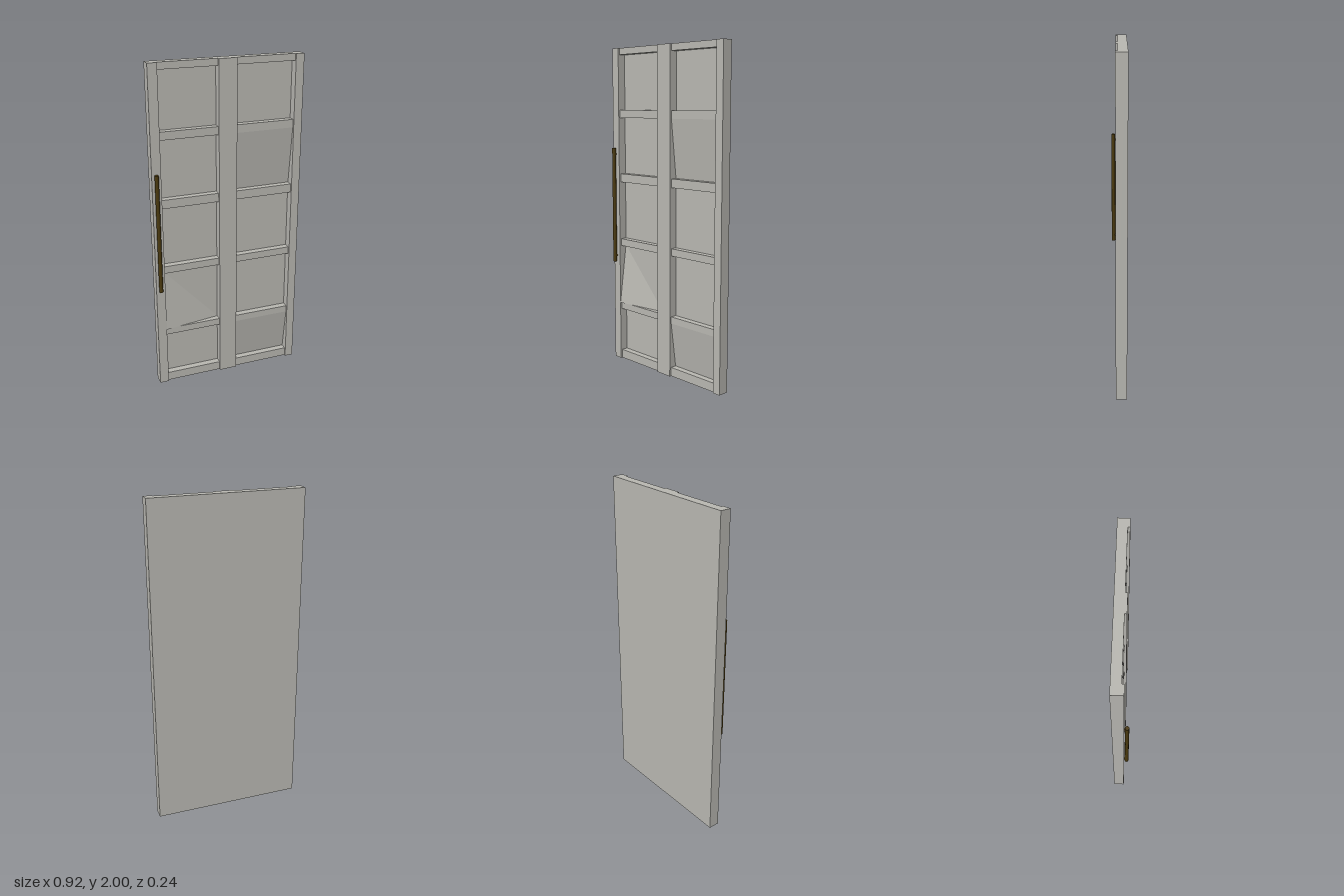
import * as THREE from 'three';

export function createModel() {
  const model = new THREE.Group();
  model.name = 'door';
  const grey = new THREE.MeshStandardMaterial({ color: 0xb8b7b1, side: THREE.DoubleSide });
  grey.name = 'grey metal';
  const bronze = new THREE.MeshStandardMaterial({ color: 0x4a390e });
  bronze.name = 'dark bronze';

  // Depths, in the door's own frame
  const BACK = -0.048, PANEL = -0.034, RAIL = 0.006, STILE = 0.018;

  const add = (name, geometry, material) => {
    const mesh = new THREE.Mesh(geometry, material);
    mesh.name = name;
    model.add(mesh);
    return mesh;
  };
  const slab = (name, x0, x1, y0, y1, z0, z1) =>
    add(name, new THREE.BoxGeometry(x1 - x0, y1 - y0, z1 - z0), grey)
      .position.set((x0 + x1) / 2, (y0 + y1) / 2, (z0 + z1) / 2);
  // Flat facet from three or four corners, anticlockwise from the front
  const facet = (name, corners) => {
    const g = new THREE.BufferGeometry();
    g.setAttribute('position', new THREE.Float32BufferAttribute(corners.flat(), 3));
    g.setIndex(corners.length === 4 ? [0, 1, 2, 0, 2, 3] : [0, 1, 2]);
    const flat = g.toNonIndexed();
    flat.computeVertexNormals();
    add(name, flat, grey);
  };

  // Back sheet and uprights
  slab('backPanel', -0.459, 0.459, 0, 2, BACK, PANEL);
  slab('rightStile', -0.459, -0.404, 0, 2, PANEL, STILE);
  slab('middleStile', -0.057, 0.053, 0, 2, PANEL, STILE);
  slab('leftStile', 0.408, 0.459, 0, 2, PANEL, STILE);

  // Cross rails in both columns
  const rails = [[0, 0.055], [0.335, 0.377], [0.755, 0.8], [1.167, 1.22], [1.572, 1.62], [1.96, 2]];
  for (const [y0, y1] of rails) {
    slab('rightRail', -0.404, -0.057, y0, y1, PANEL, RAIL);
    slab('leftRail', 0.053, 0.408, y0, y1, PANEL, RAIL);
  }

  // Sloping panels under two of the rails
  for (const [y0, y1] of [[0.055, 0.335], [1.22, 1.572]]) {
    facet('slopedPanel', [
      [0.053, y0, PANEL + 0.001], [0.408, y0, PANEL + 0.001], [0.408, y1, RAIL], [0.053, y1, RAIL],
    ]);
  }

  // Bent triangular corner in the lower right panel
  facet('bentCorner', [
    [-0.404, 0.755, PANEL + 0.001], [-0.404, 0.377, STILE], [-0.057, 0.377, PANEL + 0.001],
  ]);

  // Pull handle with two mounts
  const hx = -0.434, hz = 0.034;
  add('handleBar', new THREE.CylinderGeometry(0.012, 0.012, 0.73, 12), bronze).position.set(hx, 1.017, hz);
  for (const y of [0.69, 1.345]) {
    const mount = add('handleMount', new THREE.CylinderGeometry(0.007, 0.007, 0.02, 10), bronze);
    mount.rotation.x = Math.PI / 2;
    mount.position.set(hx, y, 0.024);
  }

  // The door stands slightly ajar
  model.rotation.y = 0.169;
  const root = new THREE.Group();
  root.name = 'doorAssembly';
  root.add(model);
  return root;
}
